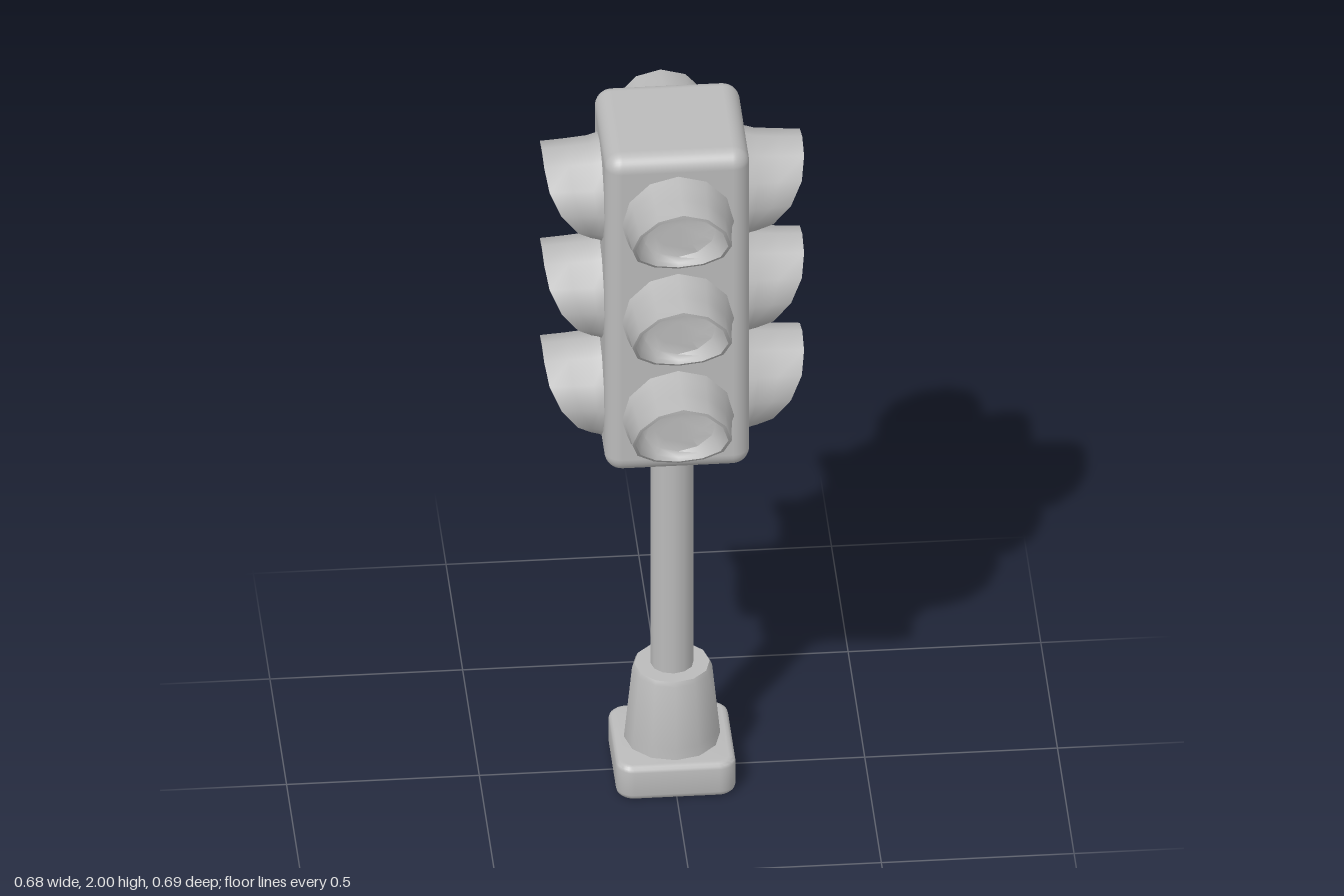
import * as THREE from 'three';
import { toCreasedNormals } from 'three/addons/utils/BufferGeometryUtils.js';
import { RoundedBoxGeometry } from 'three/addons/geometries/RoundedBoxGeometry.js';

const grey = new THREE.MeshStandardMaterial({ color: 0xbababa });
grey.name = 'plain grey';

function part(name, geometry, x = 0, y = 0, z = 0) {
  const mesh = new THREE.Mesh(geometry, grey);
  mesh.name = name;
  mesh.position.set(x, y, z);
  return mesh;
}

// Hollow lamp hood facing +z: a lathe whose front is cut along a curve.
// Profile points are [radius, fraction of the distance to the cut].
function hoodGeometry(reach) {
  const wall = 0.175, lowest = 0.2, radius = 0.13;
  const profile = [
    [0.15, 0], [0.138, 0.25], [0.133, 0.6], [0.129, 1], // outside
    [0.12, 1], [0.113, 0.6], [0.1, 0.25],               // inside
    [0.07, 0.1], [0, 0.1],                              // bowl and lens
  ].map(([r, f]) => new THREE.Vector2(r, f));
  const geometry = new THREE.LatheGeometry(profile, 12).rotateX(Math.PI / 2);
  const p = geometry.attributes.position;
  for (let i = 0; i < p.count; i++) {
    const t = THREE.MathUtils.clamp((p.getY(i) + radius) / (2 * radius), 0, 1);
    const cut = lowest + (reach - lowest) * Math.sin(t * Math.PI / 2);
    // The lens stays just proud of the housing; everything else follows the cut.
    const inside = i % profile.length > 4;
    const z = THREE.MathUtils.lerp(wall, cut, p.getZ(i));
    p.setZ(i, inside ? Math.max(z, 0.191) : z);
  }
  return toCreasedNormals(geometry, 0.9);
}

// Square slab with rounded corners and softened edges, standing on y = 0
function footGeometry(half, corner, height, bevel) {
  const s = half - bevel, c = s - corner;
  const outline = new THREE.Shape();
  [[c, -c], [c, c], [-c, c], [-c, -c]].forEach(([x, y], i) => {
    outline.absarc(x, y, corner, (i - 1) * Math.PI / 2, i * Math.PI / 2);
  });
  const slab = new THREE.ExtrudeGeometry(outline, {
    depth: height - 2 * bevel, bevelSize: bevel, bevelThickness: bevel,
    bevelSegments: 3, curveSegments: 4,
  });
  return toCreasedNormals(slab.translate(0, 0, bevel).rotateX(-Math.PI / 2), 0.75);
}

export function createModel() {
  const model = new THREE.Group();
  model.name = 'trafficLight';

  // Foot, pedestal and pole
  model.add(part('foot', footGeometry(0.155, 0.03, 0.1, 0.016)));
  const pedestal = new THREE.LatheGeometry(
    [[0.126, 0.09], [0.122, 0.13], [0.104, 0.31], [0.098, 0.323], [0, 0.323]]
      .map(([r, y]) => new THREE.Vector2(r, y)), 12);
  model.add(part('pedestal', toCreasedNormals(pedestal, 0.75)));
  model.add(part('pole', new THREE.CylinderGeometry(0.056, 0.056, 0.74, 12), 0, 0.68));

  // Lamp housing
  model.add(part('housing', new RoundedBoxGeometry(0.376, 0.97, 0.376, 4, 0.045), 0, 1.515));

  // Three hoods on each of the four sides, a little longer at front and back
  const hoods = [hoodGeometry(0.347), hoodGeometry(0.338)];
  for (let side = 0; side < 4; side++) {
    const face = new THREE.Group();
    face.name = ['frontLamps', 'leftLamps', 'backLamps', 'rightLamps'][side];
    face.rotation.y = side * Math.PI / 2;
    ['lowerHood', 'middleHood', 'upperHood'].forEach((name, i) => {
      face.add(part(name, hoods[side % 2], 0, 1.197 + i * 0.3, 0));
    });
    model.add(face);
  }
  return model;
}
